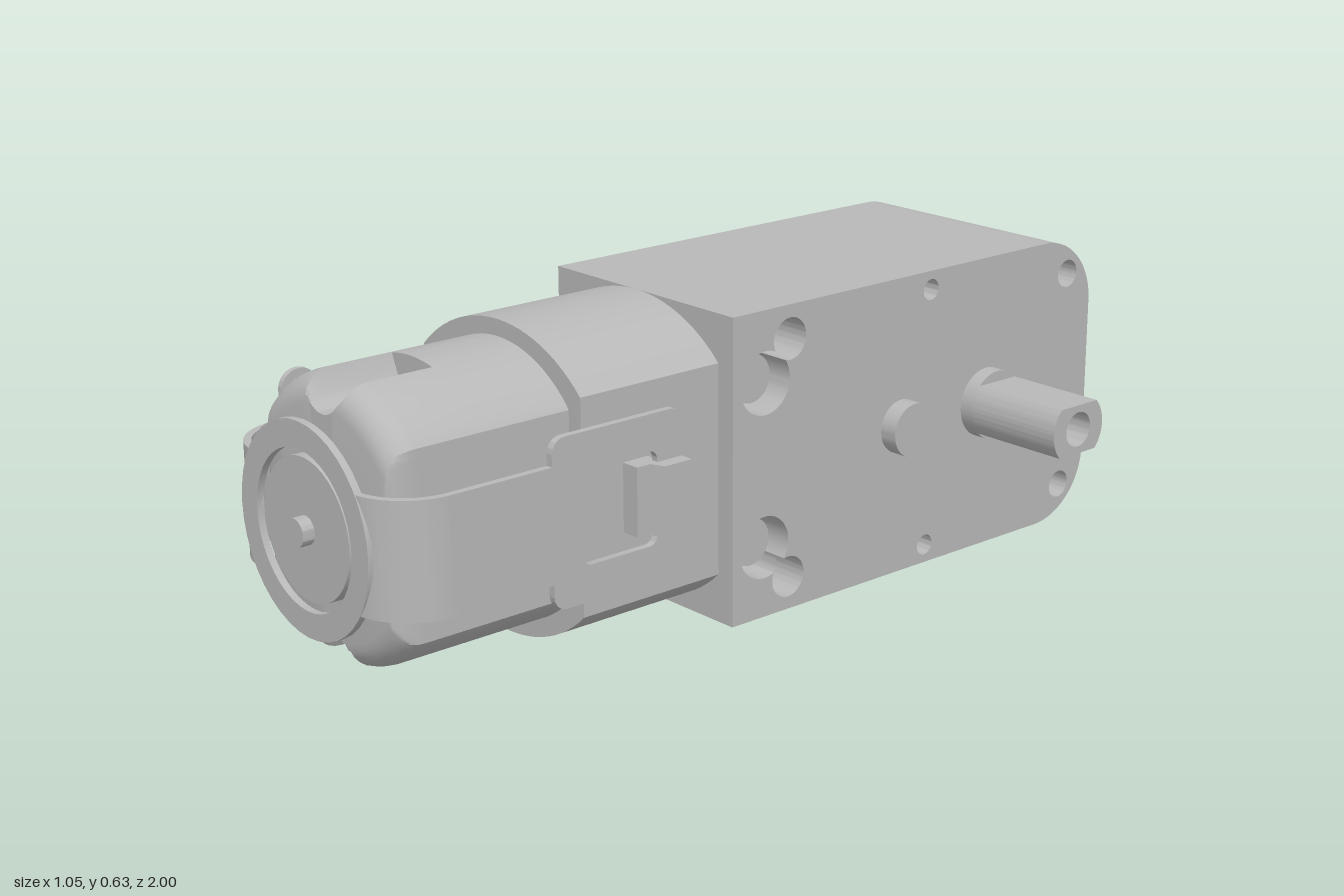
import * as THREE from 'three';
import { toCreasedNormals } from 'three/addons/utils/BufferGeometryUtils.js';

const grey = new THREE.MeshStandardMaterial({ color: 0xb8b8b8 });
grey.name = 'grey plastic';

function add(parent, name, geo) {
  const m = new THREE.Mesh(toCreasedNormals(geo, 0.5), grey);
  m.name = name;
  parent.add(m);
  return m;
}

function extrude(shape, depth) {
  return new THREE.ExtrudeGeometry(shape, { depth, bevelEnabled: false, curveSegments: 20 });
}

// Side profile (u = -z, v = y) extruded from x0 to x1
function across(shape, x0, x1) {
  return extrude(shape, x1 - x0).rotateY(Math.PI / 2).translate(x0, 0, 0);
}

// Plan profile (u = x, v = z) extruded symmetrically in y
function upright(shape, half) {
  return extrude(shape, half * 2).rotateX(Math.PI / 2).translate(0, half, 0);
}

function poly(points) {
  return new THREE.Shape(points.map(p => new THREE.Vector2(...p)));
}

function disc(u, v, r) {
  return new THREE.Shape().absarc(u, v, r, 0, Math.PI * 2);
}

// Rectangle with separate radii for the low-u and high-u corners
function roundRect(u0, u1, v0, v1, a, b = a) {
  const s = new THREE.Shape(), h = Math.PI / 2;
  s.absarc(u1 - b, v0 + b, b, 3 * h, 4 * h);
  s.absarc(u1 - b, v1 - b, b, 0, h);
  if (a) {
    s.absarc(u0 + a, v1 - a, a, h, 2 * h);
    s.absarc(u0 + a, v0 + a, a, 2 * h, 3 * h);
  } else {
    s.lineTo(u0, v1);
    s.lineTo(u0, v0);
  }
  s.closePath();
  return s;
}

// Outline of two overlapping circles
function twinHole(ax, ay, ra, bx, by, rb) {
  const d = Math.hypot(bx - ax, by - ay), f = Math.atan2(by - ay, bx - ax), P = Math.PI;
  const al = Math.acos((d * d + ra * ra - rb * rb) / (2 * d * ra));
  const be = Math.acos((d * d + rb * rb - ra * ra) / (2 * d * rb));
  return new THREE.Shape()
    .absarc(ax, ay, ra, f + al, f - al + 2 * P)
    .absarc(bx, by, rb, f + P + be, f + 3 * P - be);
}

// Motor can: round with side flats, rounded front edge, and top and bottom notches
function canGeometry() {
  const N = 192, pos = [], idx = [];
  const rings = [[0.5, 0, 0], [0.73, 0, 0], [0.73, 0, 1], [0.87, 0, 1]];
  for (let k = 1; k <= 6; k++) {
    const t = k / 6 * Math.PI / 2;
    rings.push([0.87 + 0.06 * Math.sin(t), 1 - Math.cos(t), 1]);
  }
  for (const [z, cut, notched] of rings) {
    for (let j = 0; j < N; j++) {
      const t = j / N * Math.PI * 2, c = Math.abs(Math.cos(t)), s = Math.abs(Math.sin(t));
      let r = Math.min(0.283 - 0.055 * cut, (0.212 - 0.025 * cut) / Math.max(c, 0.01));
      const q = 0.058 ** 2 - (0.27 * c) ** 2;
      if (notched && q > 0) r = Math.min(r, 0.27 * s - Math.sqrt(q));
      pos.push(r * Math.cos(t), r * Math.sin(t), z);
    }
  }
  const last = (rings.length - 1) * N;
  pos.push(0, 0, 0.93);
  for (let j = 0; j < N; j++) {
    const n = (j + 1) % N;
    for (let o = 0; o < last; o += N) idx.push(o + j, o + n, o + N + n, o + j, o + N + n, o + N + j);
    idx.push(last + N, last + j, last + n);
  }
  const g = new THREE.BufferGeometry();
  g.setAttribute('position', new THREE.Float32BufferAttribute(pos, 3));
  g.setIndex(idx);
  return g;
}

function buildGearbox(root) {
  const g = new THREE.Group();
  g.name = 'gearbox';
  root.add(g);
  const outline = () => roundRect(-0.19, 0.855, 0, 0.635, 0, 0.15);
  const mid = outline(), right = outline(), left = outline();
  for (const s of [-1, 1]) {
    const y = d => 0.3175 + s * d;
    mid.holes.push(disc(-0.04, y(0.248), 0.043));
    left.holes.push(disc(-0.04, y(0.248), 0.043), disc(-0.14, y(0.25), 0.026), disc(0.78, y(0.24), 0.03));
    right.holes.push(twinHole(-0.105, y(0.17), 0.065, -0.04, y(0.248), 0.043),
      disc(0.355, y(0.278), 0.022), disc(0.78, y(0.24), 0.03));
    add(g, 'screwPost', across(disc(-0.105, y(0.17), 0.05), 0.18, 0.225));
  }
  left.holes.push(roundRect(-0.165, 0.06, 0.16, 0.48, 0.025));
  add(g, 'gearboxBody', across(mid, -0.255, 0.185));
  add(g, 'rightCover', across(right, 0.185, 0.267));
  add(g, 'leftCover', across(left, -0.27, -0.255));
  add(g, 'locatingBoss', across(disc(0.275, 0.32, 0.057), 0.25, 0.307));

  // Output shaft: round root, flatted hollow tips
  add(g, 'shaftRoot', across(disc(0.53, 0.32, 0.075), -0.3, 0.3));
  const a = Math.asin(0.052 / 0.075);
  const tip = new THREE.Shape().absarc(0.53, 0.32, 0.075, -a, a)
    .absarc(0.53, 0.32, 0.075, Math.PI - a, Math.PI + a);
  tip.closePath();
  tip.holes.push(disc(0.53, 0.32, 0.037));
  add(g, 'rightShaftTip', across(tip, 0.3, 0.525));
  add(g, 'leftShaftTip', across(tip, -0.525, -0.3));

  // Rear mounting tab
  const tab = roundRect(0.84, 1.0, 0.253, 0.392, 0, 0.004);
  tab.holes.push(disc(0.927, 0.32, 0.045));
  add(g, 'mountingTab', across(tab, -0.06, 0.025));
}

function buildMotor(root) {
  const g = new THREE.Group();
  g.name = 'motor';
  g.position.set(-0.022, 0.318, 0);
  root.add(g);

  // Collar with flat sides
  const a = Math.acos(0.247 / 0.34), pts = [];
  for (const start of [a, Math.PI + a])
    for (let i = 0; i <= 24; i++) {
      const t = start + (Math.PI - 2 * a) * i / 24;
      pts.push([0.34 * Math.cos(t), 0.317 * Math.sin(t)]);
    }
  add(g, 'motorCollar', extrude(poly(pts), 0.35).translate(0, 0, 0.18));
  add(g, 'motorCan', canGeometry());
  add(g, 'bearingBoss', extrude(disc(0, 0, 0.14), 0.055).translate(0, 0, 0.92));
  add(g, 'motorPin', extrude(disc(0, 0, 0.028), 0.05).translate(0, 0, 0.95));

  // Retaining clip ring and its two arms
  const ring = disc(0, 0, 0.21);
  ring.holes.push(disc(0, 0, 0.157));
  add(g, 'clipRing', extrude(ring, 0.015).translate(0, 0, 0.967));
  for (const [side, turn] of [['left', 0], ['right', Math.PI]]) {
    const arm = new THREE.Group();
    arm.name = side + 'ClipArm';
    arm.rotation.z = turn;
    g.add(arm);
    const h = Math.PI / 2, band = new THREE.Shape();
    band.moveTo(0.2725, 0.62);
    band.lineTo(0.2875, 0.62);
    band.absarc(0.1575, 0.852, 0.13, 0, h);
    band.lineTo(0.155, 0.967);
    band.absarc(0.1575, 0.852, 0.115, h, 0, true);
    band.closePath();
    add(arm, 'clipBand', upright(band, 0.115));
    const plate = roundRect(-0.63, -0.315, -0.168, 0.168, 0.03);
    plate.holes.push(roundRect(-0.56, -0.38, -0.095, 0.095, 0.02));
    add(arm, 'clipPlate', across(plate, 0.2725, 0.2875));
    const hook = poly([[0.24, 0.37], [0.288, 0.37], [0.288, 0.32], [0.3175, 0.32],
      [0.3175, 0.385], [0.288, 0.398], [0.288, 0.43], [0.24, 0.43]]);
    add(arm, 'clipHook', upright(hook, 0.07));
  }

  // Wire terminals on one side
  for (const s of [-1, 1]) {
    const loop = roundRect(-0.04, 0.04, -0.06, 0.06, 0.038);
    loop.holes.push(roundRect(-0.022, 0.022, -0.042, 0.042, 0.021));
    const m = add(g, 'wireTerminal', across(loop, -0.006, 0.006));
    m.position.set(-0.225, s * 0.172, 0.838);
    add(g, 'terminalFoot', new THREE.BoxGeometry(0.04, 0.02, 0.1).translate(-0.225, s * 0.12, 0.838));
  }
}

export function createModel() {
  const root = new THREE.Group();
  root.name = 'gearMotor';
  buildGearbox(root);
  buildMotor(root);
  return root;
}
